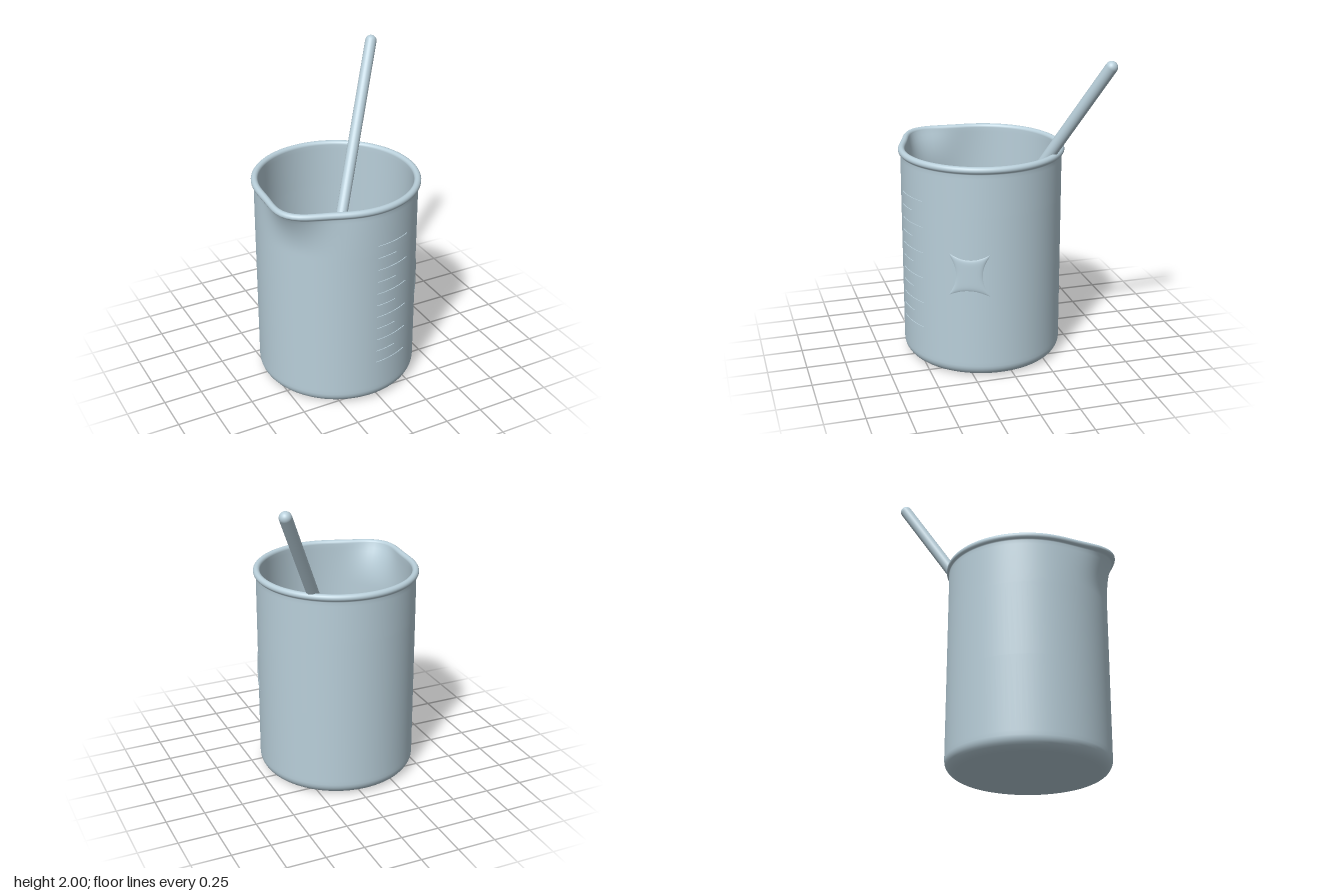
import * as THREE from 'three';
import { mergeVertices, toCreasedNormals } from 'three/addons/utils/BufferGeometryUtils.js';

const RADIUS = 0.513, INNER = 0.486, TOP = 1.387;
const CENTER = new THREE.Vector3(-0.047, 0, 0.069);
const rad = THREE.MathUtils.degToRad;

const glass = new THREE.MeshStandardMaterial({ color: 0xb9cfda });
glass.name = 'pale blue glass';
const green = new THREE.MeshStandardMaterial({ color: 0x90c9b2 });
green.name = 'green liquid';

function part(name, geometry, material) {
  const mesh = new THREE.Mesh(geometry, material);
  mesh.name = name;
  return mesh;
}

// Points along an arc of a profile, angles in degrees
function arc(cx, cy, r, from, to, steps) {
  return Array.from({ length: steps + 1 }, (_, i) => {
    const a = rad(from + (to - from) * i / steps);
    return new THREE.Vector2(cx + r * Math.cos(a), cy + r * Math.sin(a));
  });
}

// Points up or down a straight wall
function wall(r, y0, y1, steps) {
  return Array.from({ length: steps + 1 }, (_, i) =>
    new THREE.Vector2(r, y0 + (y1 - y0) * i / steps));
}

// Outward push of the pouring spout at a given angle and height
function spoutPush(x, y, z) {
  let d = THREE.MathUtils.radToDeg(Math.atan2(z, -x)) - 33.5;
  if (d < -180) d += 360;
  const t = THREE.MathUtils.clamp((y - 1.08) / 0.28, 0, 1);
  const bell = (s) => Math.exp(-0.5 * (d / s) ** 2);
  return t * t * (0.1 * bell(14) - 0.023 * bell(24));
}

// Vessel: a lathed double wall with a beaded lip, pushed out at the spout
function vesselGeometry() {
  const bead = 0.022;
  const profile = [
    new THREE.Vector2(0, 0), new THREE.Vector2(0.42, 0),
    ...arc(RADIUS - 0.075, 0.075, 0.075, -90, 0, 8),
    ...wall(RADIUS, 0.1, 1.05, 2),
    ...wall(RADIUS, 1.08, TOP - 0.05, 10),
    ...arc(0.508, TOP - bead, bead, -70, 180, 14),
    ...wall(INNER, TOP - 0.05, 1.08, 10),
    ...wall(INNER, 1.05, 0.1, 2),
    ...arc(INNER - 0.06, 0.09, 0.06, 0, -90, 6),
    new THREE.Vector2(0.4, 0.03), new THREE.Vector2(0, 0.03),
  ];
  let geo = new THREE.LatheGeometry(profile, 96);
  const p = geo.attributes.position;
  for (let i = 0; i < p.count; i++) {
    const x = p.getX(i), y = p.getY(i), z = p.getZ(i), r = Math.hypot(x, z);
    if (r < 0.1) continue;
    const k = 1 + spoutPush(x, y, z) / r;
    p.setXYZ(i, x * k, y, z * k);
  }
  geo.deleteAttribute('uv');
  geo.deleteAttribute('normal');
  geo = mergeVertices(geo, 1e-5);
  geo.computeVertexNormals();
  return geo;
}

// Raised scale mark: a thin bar wrapped round the wall
function markGeometry(endAngle) {
  const h = 0.006, r0 = RADIUS - 0.005, r1 = RADIUS + 0.005;
  const profile = [[r0, -h], [r1, -h], [r1, h], [r0, h]].map(([x, y]) => new THREE.Vector2(x, y));
  return toCreasedNormals(new THREE.LatheGeometry(profile, 10, rad(2), rad(endAngle - 2)), rad(40));
}

// Plain waisted pad, slightly raised and wrapped round the wall
function padGeometry() {
  const geo = new THREE.PlaneGeometry(2, 2, 24, 24);
  const p = geo.attributes.position;
  for (let i = 0; i < p.count; i++) {
    const u = p.getX(i), v = p.getY(i);
    const phi = rad(66 + 18 * u * (0.55 + 0.45 * v * v));
    const y = 0.69 + 0.165 * v * (0.65 + 0.35 * u * u);
    const r = RADIUS - 0.003 + 0.008 * (1 - u ** 8) * (1 - v ** 8);
    p.setXYZ(i, r * Math.sin(phi), y, r * Math.cos(phi));
  }
  geo.computeVertexNormals();
  return geo;
}

// Liquid body with a small raised edge where it meets the wall
function liquidGeometry() {
  const r = 0.482, y = 0.7;
  const profile = [[0, 0.035], [0.42, 0.035], [r, 0.1], [r, y + 0.012],
    [r - 0.006, y + 0.006], [r - 0.016, y + 0.001], [r - 0.03, y], [0, y]];
  return toCreasedNormals(
    new THREE.LatheGeometry(profile.map(([a, b]) => new THREE.Vector2(a, b)), 96), rad(40));
}

// Round-ended rod between two points
function rod(name, from, to, radius) {
  const dir = to.clone().sub(from);
  const mesh = part(name, new THREE.CapsuleGeometry(radius, dir.length(), 8, 24), glass);
  mesh.position.copy(from).add(to).multiplyScalar(0.5);
  mesh.quaternion.setFromUnitVectors(new THREE.Vector3(0, 1, 0), dir.normalize());
  return mesh;
}

export function createModel() {
  const model = new THREE.Group();
  model.name = 'beaker';

  const vessel = new THREE.Group();
  vessel.name = 'vessel';
  vessel.position.copy(CENTER);
  vessel.add(part('glassWall', vesselGeometry(), glass));
  vessel.add(part('liquid', liquidGeometry(), green));
  vessel.add(part('raisedPad', padGeometry(), glass));

  // Scale: long and short marks in turn
  const scale = new THREE.Group();
  scale.name = 'scaleMarks';
  const longMark = markGeometry(29.5), shortMark = markGeometry(18);
  for (let i = 0; i < 11; i++) {
    const mark = part(i % 2 ? 'shortMark' : 'longMark', i % 2 ? shortMark : longMark, glass);
    mark.position.y = 0.275 + i * 0.0845;
    scale.add(mark);
  }
  vessel.add(scale);
  model.add(vessel);

  // Stirring rod leaning on the lip
  model.add(rod('stirringRod', new THREE.Vector3(-0.345, 0.09, 0.328),
    new THREE.Vector3(0.545, 1.962, -0.562), 0.038));
  return model;
}
